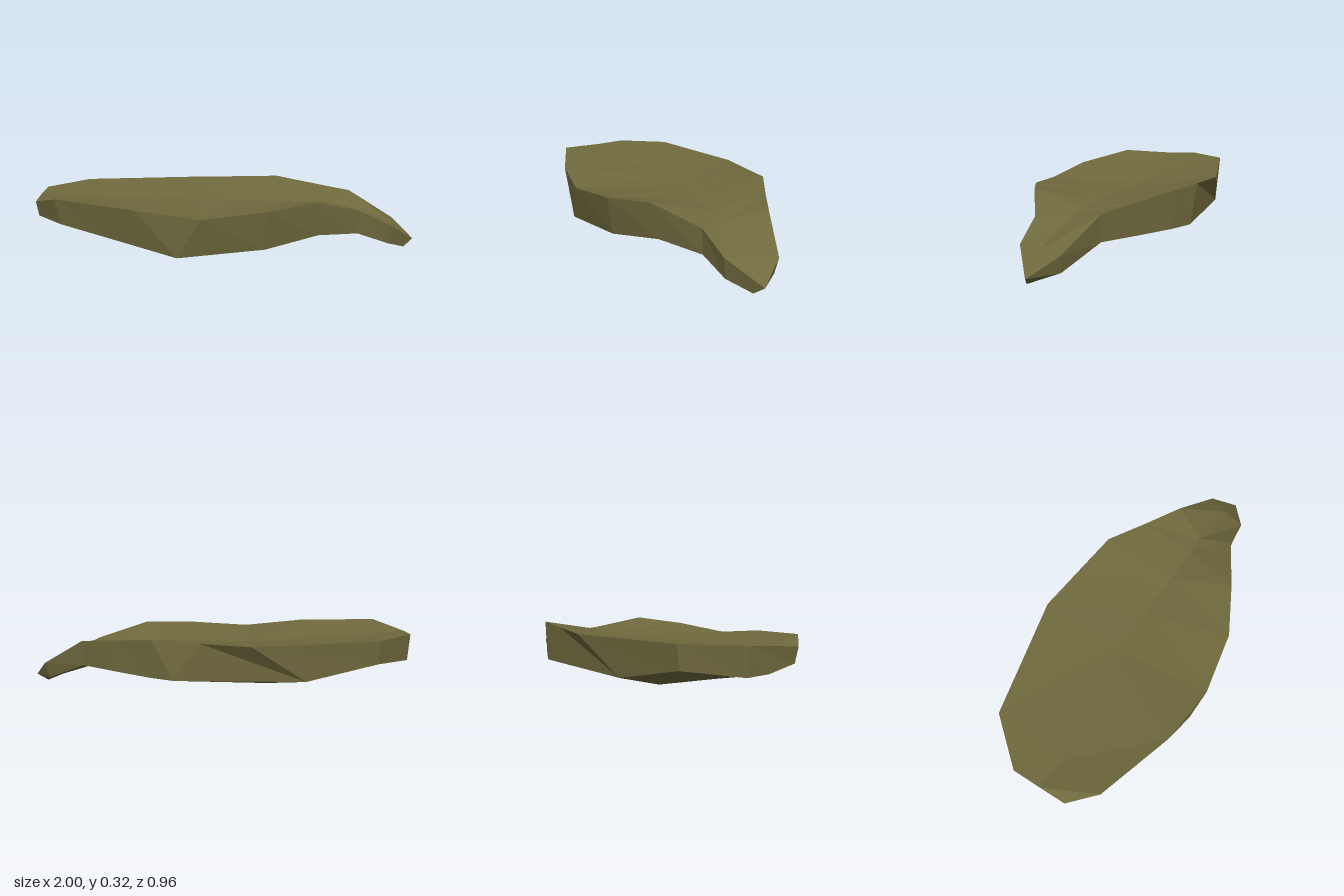
import * as THREE from 'three';

// Cross-sections from the blunt end to the drooping tip. Each ring runs:
// back rim, top valley, front rim, front underside, keel, back underside.
const rings = [
  [[-1, .31, 0], [-.98, .3, .15], [-.96, .285, .29], [-.95, .21, .28], [-.98, .18, .12], [-.99, .175, 0]],
  [[-.84, .315, -.25], [-.82, .285, .14], [-.82, .32, .4], [-.8, .19, .38], [-.65, .11, .06], [-.84, .2, -.24]],
  [[-.25, .305, -.46], [-.2, .25, -.035], [-.4, .29, .48], [-.48, .12, .43], [-.27, .025, -.03], [-.5, .125, -.36]],
  [[0, .312, -.458], [.05, .245, -.05], [-.08, .25, .475], [-.2, .057, .47], [0, .045, -.02], [.13, .13, -.48]],
  [[.24, .32, -.455], [.3, .245, -.06], [.23, .275, .38], [.22, .08, .35], [.18, .065, -.04], [.26, .13, -.44]],
  [[.45, .295, -.37], [.5, .24, -.085], [.46, .295, .22], [.48, .12, .19], [.48, .11, -.05], [.45, .135, -.37]],
  [[.66, .27, -.29], [.6, .225, -.1], [.69, .225, .05], [.69, .1, .045], [.68, .1, -.1], [.66, .14, -.285]],
  [[.9, .13, -.23], [.88, .135, -.11], [.86, .14, .01], [.85, .04, .0], [.86, .04, -.1], [.88, .05, -.22]],
];

export function createModel() {
  const group = new THREE.Group();
  const olive = new THREE.MeshStandardMaterial({ color: 0x6f693d });

  // The last ring closes to a short slanted edge
  const tipTop = [1, .04, -.12], tipBottom = [.95, 0, -.09];
  const all = [...rings, [tipTop, tipTop, tipTop, tipBottom, tipBottom, tipBottom]];

  const positions = [];
  const tri = (a, b, c) => positions.push(...a, ...b, ...c);

  // Skin between neighbouring sections
  for (let i = 0; i < all.length - 1; i++) {
    for (let j = 0; j < 6; j++) {
      const k = (j + 1) % 6;
      const a = all[i][j], b = all[i][k], c = all[i + 1][k], d = all[i + 1][j];
      if (a !== b) tri(a, b, c);
      if (c !== d) tri(a, c, d);
      else if (a === b) continue;
    }
  }
  // Blunt end cap
  for (let k = 1; k < 5; k++) tri(all[0][0], all[0][k + 1], all[0][k]);

  const geometry = new THREE.BufferGeometry();
  geometry.setAttribute('position', new THREE.Float32BufferAttribute(positions, 3));
  geometry.computeVertexNormals(); // unshared corners give flat facets

  const slab = new THREE.Mesh(geometry, olive);
  slab.name = 'facetedSlab';
  group.add(slab);
  return group;
}
